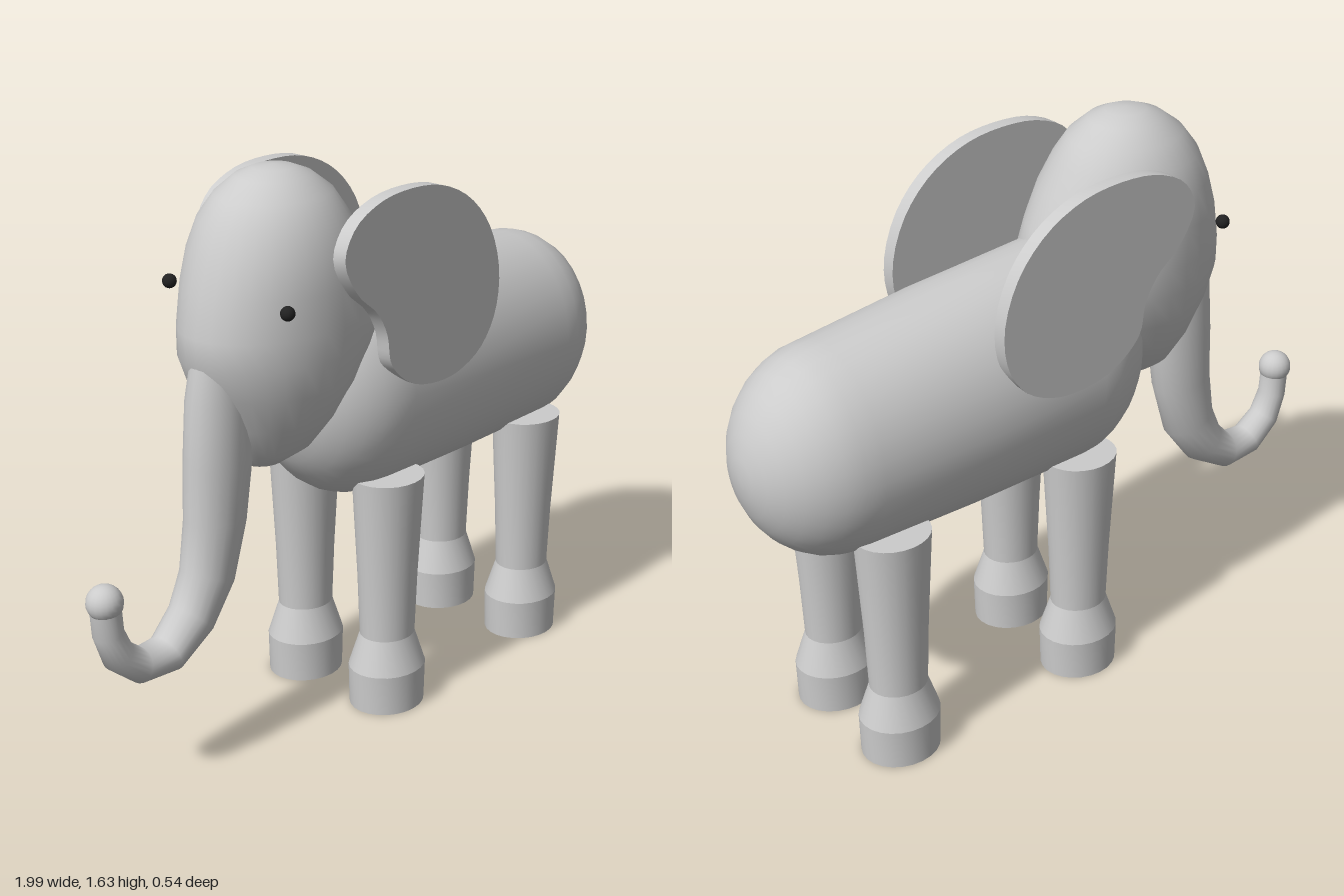
import * as THREE from 'three';
import { mergeVertices, toCreasedNormals } from 'three/addons/utils/BufferGeometryUtils.js';

const grey = new THREE.MeshStandardMaterial({ color: 0xcccccc });
const dark = new THREE.MeshStandardMaterial({ color: 0x222222 });
const V = (x, y, z = 0) => new THREE.Vector3(x, y, z);

function part(name, geometry, material = grey) {
  const mesh = new THREE.Mesh(geometry, material);
  mesh.name = name;
  return mesh;
}

// Skin through elliptical rings { c, u, v }, where u x v points along the loft
function loft(rings, sides = 32) {
  const pos = [], index = [];
  rings.forEach(({ c, u, v }, r) => {
    for (let i = 0; i < sides; i++) {
      const a = (i / sides) * Math.PI * 2;
      const p = c.clone().addScaledVector(u, Math.cos(a)).addScaledVector(v, Math.sin(a));
      pos.push(p.x, p.y, p.z);
      if (r === rings.length - 1) continue;
      const j = (i + 1) % sides, k = r * sides;
      index.push(k + i, k + j, k + sides + i, k + j, k + sides + j, k + sides + i);
    }
  });
  let g = new THREE.BufferGeometry();
  g.setAttribute('position', new THREE.Float32BufferAttribute(pos, 3));
  g.setIndex(index);
  g = mergeVertices(g, 1e-5);
  g.computeVertexNormals();
  return g;
}

// Barrel with a rounded cap at each end, tapering to the rear
function bodyGeometry() {
  const rings = [], steps = 8;
  const ring = (x, y, ry, rz) => rings.push({ c: V(x, y), u: V(0, ry, 0), v: V(0, 0, rz) });
  for (let i = 0; i <= steps; i++) {
    const a = (i / steps) * Math.PI / 2, s = Math.sin(a);
    ring(-0.02 - 0.28 * Math.cos(a), 0.97, 0.34 * s, 0.265 * s);
  }
  ring(0.35, 0.953, 0.325, 0.27);
  for (let i = 0; i <= steps; i++) {
    const a = (i / steps) * Math.PI / 2, s = Math.cos(a);
    ring(0.71 + 0.28 * Math.sin(a), 0.933, 0.303 * s, 0.255 * s);
  }
  return loft(rings);
}

// Head sections: height, front x, back x, half width
function headGeometry() {
  const rows = [
    [0.805, -0.35, -0.35, 0], [0.815, -0.41, -0.29, 0.05], [0.86, -0.46, -0.2, 0.11],
    [0.95, -0.51, -0.12, 0.17], [1.05, -0.56, -0.04, 0.21], [1.14, -0.6, 0.03, 0.225],
    [1.22, -0.6, 0.05, 0.23], [1.33, -0.578, 0.005, 0.23], [1.42, -0.55, -0.04, 0.217],
    [1.5, -0.515, -0.09, 0.19], [1.56, -0.47, -0.13, 0.15], [1.605, -0.41, -0.19, 0.1],
    [1.625, -0.36, -0.24, 0.055], [1.632, -0.3, -0.3, 0],
  ];
  return loft(rows.map(([y, x0, x1, rz]) => ({
    c: V((x0 + x1) / 2, y), u: V(0, 0, rz), v: V((x1 - x0) / 2, 0, 0),
  })));
}

// Trunk stations: x, y, radius in profile, radius across
function trunkGeometry() {
  const s = [
    [-0.51, 1.16, 0.085, 0.07], [-0.52, 1.04, 0.1, 0.08], [-0.53, 0.86, 0.105, 0.08],
    [-0.545, 0.7, 0.096, 0.075], [-0.58, 0.55, 0.085, 0.07], [-0.645, 0.445, 0.07, 0.066],
    [-0.74, 0.374, 0.054, 0.06], [-0.84, 0.377, 0.048, 0.052], [-0.912, 0.435, 0.046, 0.047],
    [-0.943, 0.51, 0.042, 0.043], [-0.95, 0.6, 0.042, 0.042],
  ];
  return loft(s.map(([x, y, r, rz], i) => {
    const a = s[Math.max(i - 1, 0)], b = s[Math.min(i + 1, s.length - 1)];
    const d = V(b[0] - a[0], b[1] - a[1]).normalize();
    return { c: V(x, y), u: V(-d.y, d.x).multiplyScalar(r), v: V(0, 0, rz) };
  }), 20);
}

// Flat ear plate with a concave lower front edge
function earGeometry() {
  const outline = [
    [-0.32, 1.42], [-0.28, 1.5], [-0.18, 1.55], [-0.05, 1.563], [0.08, 1.545], [0.2, 1.485],
    [0.29, 1.385], [0.335, 1.25], [0.32, 1.13], [0.26, 1.045], [0.17, 1.0], [0.08, 0.99],
    [-0.03, 1.01], [-0.1, 1.055], [-0.135, 1.1], [-0.15, 1.18], [-0.19, 1.25], [-0.27, 1.32],
  ].map(([x, y]) => V(x, y));
  const curve = new THREE.CatmullRomCurve3(outline, true);
  const shape = new THREE.Shape(curve.getPoints(60).slice(0, -1).map(p => new THREE.Vector2(p.x, p.y)));
  const g = new THREE.ExtrudeGeometry(shape, { depth: 0.042, bevelEnabled: false });
  return toCreasedNormals(g.translate(0, 0, -0.021), 0.6);
}

// Tapered leg flaring into a round foot
function legGeometry() {
  const profile = [[0, 0], [0.116, 0], [0.119, 0.12], [0.085, 0.22], [0.092, 0.4], [0.11, 0.71], [0, 0.71]];
  const g = new THREE.LatheGeometry(profile.map(([r, y]) => new THREE.Vector2(r, y)), 24);
  return toCreasedNormals(g.scale(1, 1, 0.89), 0.3);
}

export function createModel() {
  const model = new THREE.Group();
  model.name = 'elephant';
  model.add(part('body', bodyGeometry()), part('head', headGeometry()), part('trunk', trunkGeometry()));

  const tip = part('trunkTip', new THREE.SphereGeometry(0.05, 20, 14));
  tip.position.set(-0.95, 0.6, 0);
  model.add(tip);

  const legGeo = legGeometry(), earGeo = earGeometry();
  const eyeGeo = new THREE.SphereGeometry(0.02, 14, 10);
  for (const side of [1, -1]) {
    for (const [name, x] of [['frontLeg', -0.013], ['backLeg', 0.635]]) {
      const leg = part(name, legGeo);
      leg.position.set(x, 0, side * 0.16);
      model.add(leg);
    }
    const ear = part('ear', earGeo);
    ear.position.z = side * 0.248;
    const eye = part('eye', eyeGeo, dark);
    eye.position.set(-0.48, 1.31, side * 0.215);
    model.add(ear, eye);
  }
  return model;
}
